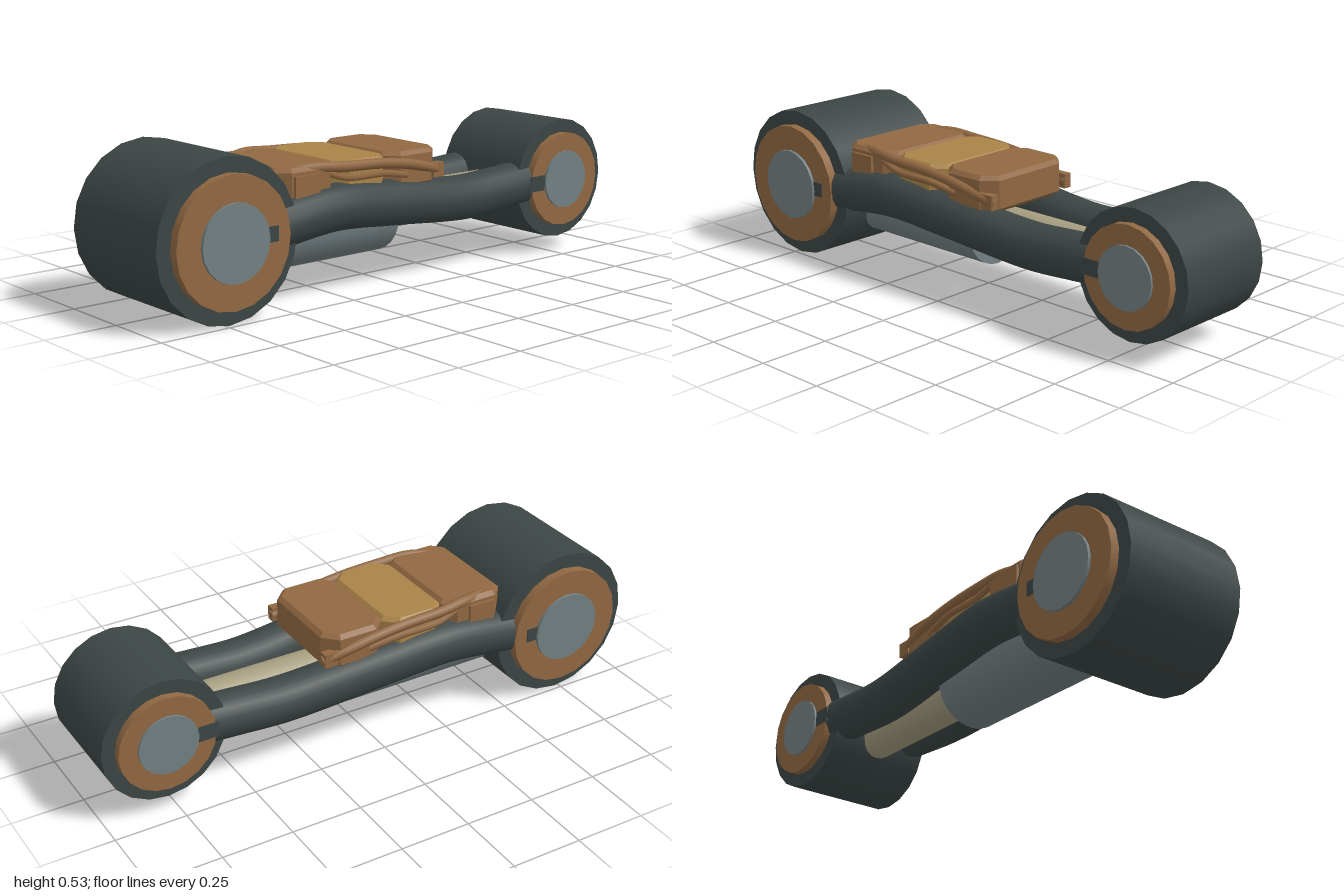
import * as THREE from 'three';

const mat = (name, color, side = THREE.FrontSide) => {
  const m = new THREE.MeshStandardMaterial({ color, side });
  m.name = name;
  return m;
};

export function createModel() {
  const dark = mat('dark rubber', 0x3c4645);
  const bronze = mat('bronze', 0x916842);
  const gold = mat('gold', 0xa88347);
  const steel = mat('steel', 0x738083);
  const tan = mat('pale metal', 0xa69e80);
  const model = new THREE.Group();
  model.name = 'linkArm';

  const add = (parent, name, geo, material, x = 0, y = 0, z = 0) => {
    const mesh = new THREE.Mesh(geo, material);
    mesh.name = name;
    mesh.position.set(x, y, z);
    parent.add(mesh);
    return mesh;
  };
  const v = (x, y, z) => new THREE.Vector3(x, y, z);

  // Joint drums: rubber barrel, bronze flange and steel pin, stacked across x
  const drum = (name, y, z, layers) => {
    const g = new THREE.Group();
    g.name = name;
    g.position.set(0, y, z);
    layers.forEach(([part, r, half, material]) => {
      const geo = new THREE.CylinderGeometry(r, r, half * 2, 20).rotateZ(Math.PI / 2);
      add(g, part, geo, material);
    });
    model.add(g);
  };
  drum('frontDrum', 0.267, 0.735, [
    ['barrel', 0.266, 0.232, dark], ['flange', 0.215, 0.264, bronze], ['pin', 0.127, 0.275, steel]]);
  drum('rearDrum', 0.271, -0.783, [
    ['barrel', 0.217, 0.19, dark], ['flange', 0.17, 0.217, bronze], ['pin', 0.105, 0.225, steel]]);

  // Piston under the arm
  add(model, 'pistonCylinder', new THREE.CylinderGeometry(0.14, 0.14, 0.65, 24).rotateX(Math.PI / 2),
    steel, 0, 0.225, 0.28);
  add(model, 'pistonRod', new THREE.CylinderGeometry(0.075, 0.075, 0.7, 20).rotateX(Math.PI / 2),
    tan, 0, 0.225, -0.35);

  // Armour block: eight-sided plan with a small bevel
  const block = (name, material, z0, z1, y0, y1, hx, cut) => {
    const b = 0.014, w = hx - b, a = z0 + b, c = z1 - b;
    const shape = new THREE.Shape([
      [-w + cut, -c], [w - cut, -c], [w, -c + cut], [w, -a - cut],
      [w - cut, -a], [-w + cut, -a], [-w, -a - cut], [-w, -c + cut],
    ].map(([x, y]) => new THREE.Vector2(x, y)));
    const geo = new THREE.ExtrudeGeometry(shape, {
      depth: y1 - y0 - 2 * b, bevelThickness: b, bevelSize: b, bevelSegments: 1,
    }).rotateX(-Math.PI / 2);
    add(model, name, geo, material, 0, y0 + b, 0);
  };
  block('rearBlock', bronze, -0.19, 0.045, 0.33, 0.455, 0.195, 0.04);
  block('middleBlock', gold, 0.04, 0.275, 0.34, 0.452, 0.2, 0.04);
  block('frontBlock', bronze, 0.27, 0.51, 0.33, 0.455, 0.205, 0.035);

  for (const s of [1, -1]) {
    const side = s > 0 ? 'left' : 'right';

    // Curved side tube running from drum to drum
    const rail = new THREE.CatmullRomCurve3([
      v(s * 0.182, 0.27, 0.6), v(s * 0.181, 0.282, 0.5), v(s * 0.176, 0.303, 0.28),
      v(s * 0.163, 0.283, 0.02), v(s * 0.145, 0.252, -0.33), v(s * 0.141, 0.26, -0.52),
      v(s * 0.14, 0.271, -0.68)]);
    add(model, side + 'Rail', new THREE.TubeGeometry(rail, 28, 0.08, 16), dark);

    // Rail end lugs showing through the flanges
    add(model, side + 'FrontLug', new THREE.BoxGeometry(0.03, 0.05, 0.045), dark, s * 0.252, 0.275, 0.592);
    add(model, side + 'RearLug', new THREE.BoxGeometry(0.03, 0.055, 0.07), dark, s * 0.205, 0.27, -0.642);

    // Hoses along the block sides
    const hose = new THREE.CatmullRomCurve3([
      v(s * 0.17, 0.44, 0.43), v(s * 0.188, 0.445, 0.36), v(s * 0.2, 0.437, 0.25),
      v(s * 0.2, 0.43, 0.1), v(s * 0.198, 0.415, -0.02), v(s * 0.192, 0.395, -0.11),
      v(s * 0.175, 0.37, -0.2)]);
    add(model, side + 'Hose', new THREE.TubeGeometry(hose, 24, 0.018, 8), bronze);
    const lower = new THREE.CatmullRomCurve3([
      v(s * 0.195, 0.425, 0.32), v(s * 0.202, 0.4, 0.24), v(s * 0.202, 0.395, 0.08), v(s * 0.19, 0.375, -0.03)]);
    add(model, side + 'LowerHose', new THREE.TubeGeometry(lower, 14, 0.012, 6), bronze);

    // Clamps holding the hoses
    add(model, side + 'FrontClamp', new THREE.BoxGeometry(0.03, 0.08, 0.1), bronze, s * 0.2, 0.39, 0.41);
    add(model, side + 'RearClamp', new THREE.BoxGeometry(0.03, 0.05, 0.05), bronze, s * 0.18, 0.375, -0.175);
  }
  return model;
}
